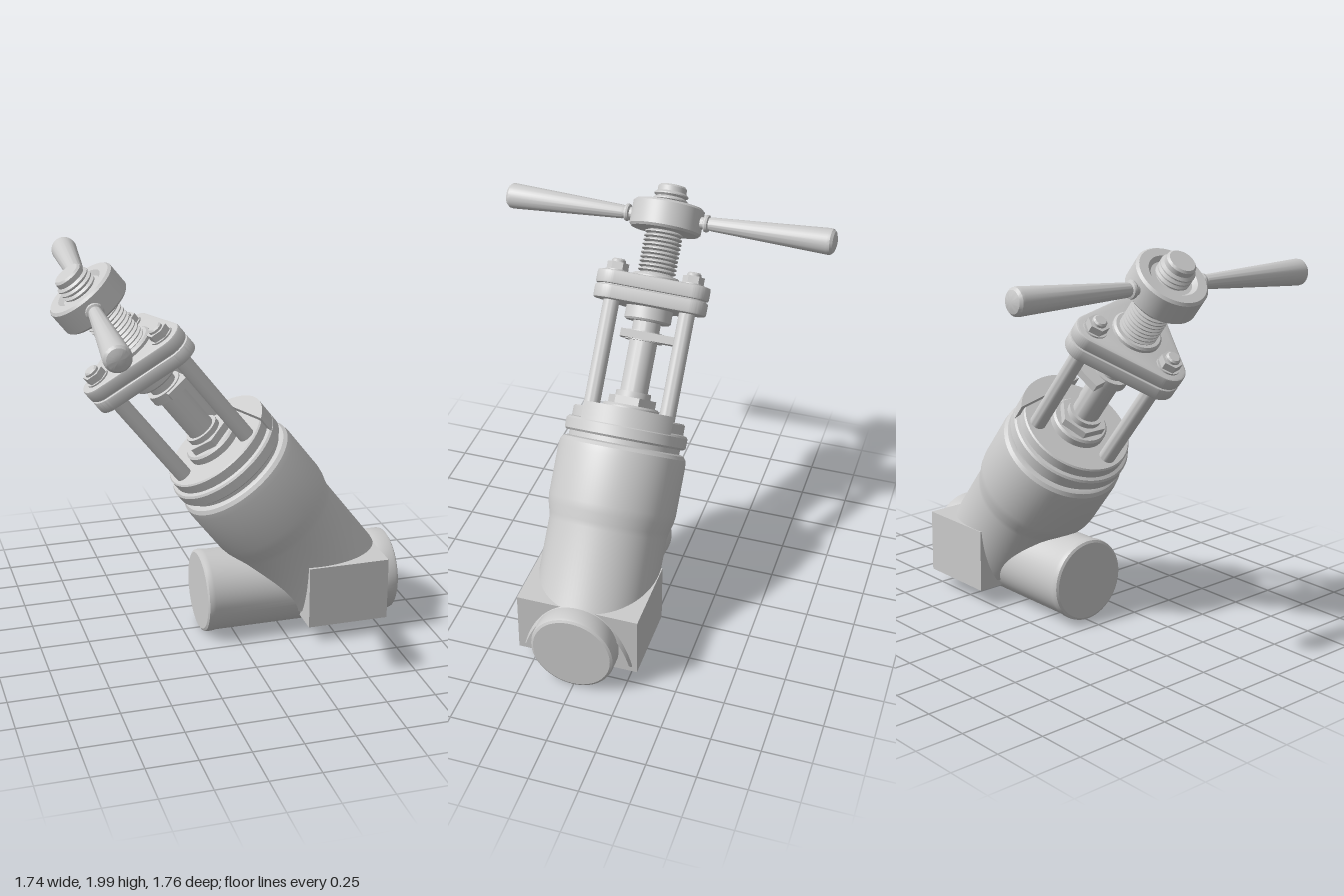
import * as THREE from 'three';
import { toCreasedNormals } from 'three/addons/utils/BufferGeometryUtils.js';

const DEG = Math.PI / 180;
const TILT = 37.7 * DEG;      // lean of the stem axis
const YOKE_TURN = -12 * DEG;  // turn of the yoke about the stem axis
const SIN = Math.sin(TILT), COS = Math.cos(TILT);
const ORIGIN = new THREE.Vector3(0.544, 0.22, 0.005);

const material = new THREE.MeshStandardMaterial({ color: 0xcccccc });

function add(parent, name, geometry) {
  const mesh = new THREE.Mesh(toCreasedNormals(geometry, 0.5), material);
  mesh.name = name;
  parent.add(mesh);
  return mesh;
}

// Revolved profile, points [radius, height] listed upwards on the outside
function lathe(points, segments = 64) {
  return new THREE.LatheGeometry(points.map(p => new THREE.Vector2(...p)), segments);
}

// Plain cylinder between two heights
function cyl(r, y0, y1, sides = 48) {
  return new THREE.CylinderGeometry(r, r, y1 - y0, sides).translate(0, (y0 + y1) / 2, 0);
}

// Flat shape standing on the xz plane, extruded upwards
function slab(shape, y0, y1, bevel = 0) {
  const g = new THREE.ExtrudeGeometry(shape, {
    depth: y1 - y0 - 2 * bevel, curveSegments: 20, bevelEnabled: bevel > 0,
    bevelSize: bevel, bevelThickness: bevel, bevelOffset: -bevel, bevelSegments: 2,
  });
  return g.rotateX(-Math.PI / 2).translate(0, y0 + bevel, 0);
}

function triangleShape(centreRadius, cornerRadius) {
  const shape = new THREE.Shape();
  for (let i = 0; i < 3; i++) {
    const a = (-60 + i * 120) * DEG;
    shape.absarc(centreRadius * Math.cos(a), centreRadius * Math.sin(a), cornerRadius, a - 60 * DEG, a + 60 * DEG);
  }
  shape.closePath();
  return shape;
}

// Leaning body; its lower end is trimmed to finish inside the pipe and side blocks
function bodyGeometry() {
  const g = lathe([[0.303, -1], [0.303, 0.43], [0.308, 0.46], [0.322, 0.51], [0.327, 0.55],
    [0.327, 0.8], [0.323, 0.835], [0.31, 0.853], [0.292, 0.86], [0.285, 0.86], [0.285, 0.9]], 96);
  const p = g.attributes.position;
  for (let i = 0; i < p.count; i++) {
    if (p.getY(i) > -0.5) continue;
    const u = p.getX(i);
    p.setY(i, Math.max((-0.1 - SIN * u) / COS, (COS * u - 0.236) / SIN));
  }
  return g;
}

// Threaded rod as a stack of V-shaped ridges
function threadGeometry(y0, y1, outer, inner, turns) {
  const pts = [[0, y0], [inner, y0]];
  const step = (y1 - y0) / turns;
  for (let i = 0; i < turns; i++) {
    const y = y0 + i * step;
    pts.push([outer, y + step * 0.35], [outer, y + step * 0.6], [inner, y + step]);
  }
  pts.push([0, y1]);
  return lathe(pts, 40);
}

export function createModel() {
  const model = new THREE.Group();
  model.name = 'angleValve';

  // Horizontal pipe with softened ends
  const pipe = add(model, 'pipe', lathe([[0, -0.167], [0.2, -0.167], [0.212, -0.16], [0.215, -0.145], [0.215, -0.13],
    [0.211, -0.1], [0.211, 0.76], [0.216, 0.775], [0.216, 0.845], [0.212, 0.858], [0.2, 0.865], [0, 0.865]], 80)
    .rotateZ(-Math.PI / 2));
  pipe.position.set(0, 0.217, 0.005);

  // Block around the pipe outlet
  const block = add(model, 'sideBlock', new THREE.BoxGeometry(0.425, 0.328, 0.624));
  block.position.set(0.548, 0.25, 0.01);

  // Everything along the leaning stem axis
  const bonnet = new THREE.Group();
  bonnet.name = 'stemAssembly';
  bonnet.position.copy(ORIGIN);
  bonnet.rotation.z = TILT;
  model.add(bonnet);

  add(bonnet, 'body', bodyGeometry());
  add(bonnet, 'bonnetFlange', lathe([[0, 0.885], [0.3, 0.885], [0.312, 0.895], [0.312, 0.945], [0.304, 0.955],
    [0.287, 0.96], [0.287, 1.008], [0.28, 1.015], [0, 1.015]], 80));

  // Yoke: pillars, plates, bolts, turned about the axis
  const yoke = new THREE.Group();
  yoke.name = 'yoke';
  yoke.rotation.y = -YOKE_TURN;
  bonnet.add(yoke);

  const lug = new THREE.Shape();
  const half = Math.acos(0.215 / 0.312);
  lug.absarc(0, 0, 0.312, -half, half);
  lug.closePath();
  add(yoke, 'flangeLug', slab(lug, 0.95, 1.04));

  add(yoke, 'lowerYokePlate', slab(triangleShape(0.222, 0.095), 1.56, 1.63, 0.01));
  add(yoke, 'plateGasket', slab(triangleShape(0.222, 0.082), 1.62, 1.645));
  add(yoke, 'upperYokePlate', slab(triangleShape(0.222, 0.095), 1.635, 1.705, 0.01));

  for (let i = 0; i < 3; i++) {
    const post = new THREE.Group();
    const a = (60 + i * 120) * DEG;
    post.name = 'yokePost' + (i + 1);
    post.position.set(0.222 * Math.cos(a), 0, 0.222 * Math.sin(a));
    yoke.add(post);
    add(post, 'pillar', cyl(0.041, 0.98, 1.57, 32));
    add(post, 'washer', cyl(0.06, 1.7, 1.713, 32));
    add(post, 'nut', cyl(0.055, 1.713, 1.75, 6));
    add(post, 'boltEnd', lathe([[0.036, 1.74], [0.036, 1.762], [0.028, 1.77], [0, 1.77]], 24));
  }

  // Anti-rotation arm clamped to the stem
  const arm = add(yoke, 'guideArm', new THREE.BoxGeometry(0.13, 0.04, 0.28));
  arm.position.set(0.03, 1.415, -0.02);
  add(yoke, 'armClamp', cyl(0.095, 1.39, 1.44));

  // Stem, packing gland and bushings
  add(bonnet, 'stem', cyl(0.071, 0.95, 1.75));
  add(bonnet, 'glandRing', lathe([[0.145, 1.0], [0.145, 1.05], [0.135, 1.06], [0, 1.06]]));
  add(bonnet, 'glandNut', cyl(0.125, 1.06, 1.1, 6));
  add(bonnet, 'glandCollar', cyl(0.09, 1.09, 1.13));
  add(bonnet, 'lowerBushing', lathe([[0, 1.49], [0.11, 1.49], [0.12, 1.5], [0.12, 1.57]]));
  add(bonnet, 'upperBushing', lathe([[0.125, 1.69], [0.125, 1.72], [0.115, 1.73], [0, 1.73]]));
  add(bonnet, 'stemThread', threadGeometry(1.72, 1.98, 0.098, 0.08, 12));
  add(bonnet, 'stemTopThread', threadGeometry(1.98, 2.16, 0.088, 0.074, 7));
  add(bonnet, 'stemTip', lathe([[0.074, 2.15], [0.074, 2.185], [0.064, 2.195], [0, 2.195]], 40));

  // Handle hub with a dished bore
  const handle = new THREE.Group();
  handle.name = 'handle';
  handle.position.y = 2.03;
  handle.rotation.y = -3.8 * DEG;
  bonnet.add(handle);
  add(handle, 'hub', lathe([[0.07, -0.07], [0.172, -0.07], [0.184, -0.058], [0.184, 0.058], [0.172, 0.07],
    [0.125, 0.07], [0.105, 0.05], [0.07, 0.05]]));

  // Two tapered grips
  for (const side of [0, 1]) {
    const grip = add(handle, side ? 'backGrip' : 'frontGrip', lathe([[0.03, 0.16], [0.03, 0.198], [0.042, 0.203],
      [0.045, 0.212], [0.042, 0.222], [0.032, 0.226], [0.035, 0.24], [0.066, 0.845], [0.064, 0.86],
      [0.053, 0.873], [0.03, 0.881], [0, 0.884]], 40).rotateX(Math.PI / 2));
    grip.rotation.y = side * Math.PI;
  }

  return model;
}
